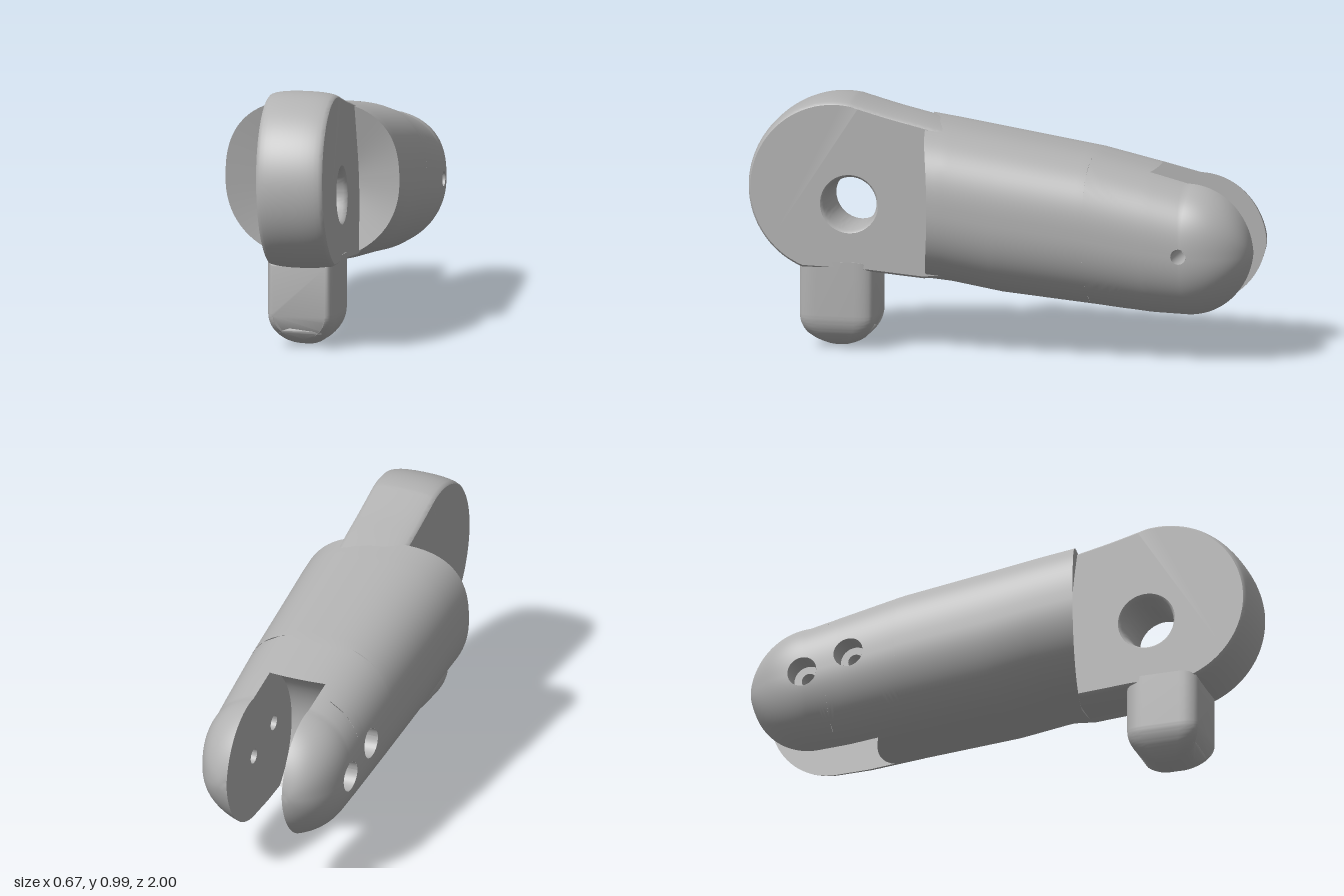
import * as THREE from 'three';
import { toCreasedNormals } from 'three/addons/utils/BufferGeometryUtils.js';

const LEFT = 0.08, RIGHT = -0.155;   // x planes of the rear slot
const SPLIT = -0.36;                 // z where the solid barrel becomes two prongs
const PIN = { z: -0.74, y: 0.445 }, SCREW = { z: -0.55, y: 0.5 };

// barrel stations: z, bottom, top, right x, left x
const STATIONS = [
  [-0.74, 0.165, 0.71, -0.335, 0.265], [-0.6, 0.17, 0.745, -0.335, 0.275],
  [-0.36, 0.195, 0.8, -0.34, 0.29], [0, 0.23, 0.858, -0.34, 0.313],
  [0.2, 0.265, 0.89, -0.34, 0.325], [0.42, 0.285, 0.922, -0.34, 0.335],
];

// barrel cross-section at z, with a rounded rear end
function section(z) {
  if (z < -0.74) {
    const k = Math.max(0.02, Math.sqrt(Math.max(0, 1 - ((z + 0.74) / 0.26) ** 2)));
    return { cx: -0.035, w: 0.12 + 0.18 * k, cy: 0.4375, h: 0.2725 * k };
  }
  let i = 0;
  while (i < STATIONS.length - 2 && z > STATIONS[i + 1][0]) i++;
  const a = STATIONS[i], b = STATIONS[i + 1], t = (z - a[0]) / (b[0] - a[0]);
  const [, lo, hi, xr, xl] = a.map((v, j) => v + (b[j] - v) * t);
  return { cx: (xl + xr) / 2, w: (xl - xr) / 2, cy: (lo + hi) / 2, h: (hi - lo) / 2 };
}
const power = up => (up ? 2.6 : 2.15);
function field(x, y, z) {
  const s = section(z), n = power(y > s.cy);
  return Math.abs((x - s.cx) / s.w) ** n + Math.abs((y - s.cy) / s.h) ** n - 1;
}
function outerX(z, y, side) {
  const s = section(z), n = power(y > s.cy);
  return s.cx + side * s.w * Math.max(0, 1 - Math.abs((y - s.cy) / s.h) ** n) ** (1 / n);
}
function outerY(z, x, up) {
  const s = section(z), n = power(up > 0);
  return s.cy + up * s.h * Math.max(0, 1 - Math.abs((x - s.cx) / s.w) ** n) ** (1 / n);
}
function skinNormal(x, y, z) {
  const e = 0.002;
  return new THREE.Vector3(field(x + e, y, z) - field(x - e, y, z),
    field(x, y + e, z) - field(x, y - e, z), field(x, y, z + e) - field(x, y, z - e)).normalize();
}

// grid surface from fn(i / nu, j / nv, i); skin = smooth normals of the barrel
function grid(nu, nv, fn, skin = false) {
  const pts = [], index = [];
  for (let i = 0; i <= nu; i++)
    for (let j = 0; j <= nv; j++) pts.push(new THREE.Vector3(...fn(i / nu, j / nv, i)));
  const normals = skin ? pts.map(p => skinNormal(p.x, p.y, p.z)) : null;
  const tri = (a, b, c) => {
    if (skin) {
      const f = pts[b].clone().sub(pts[a]).cross(pts[c].clone().sub(pts[a]));
      if (f.dot(normals[a]) < 0) [b, c] = [c, b];
    }
    index.push(a, b, c);
  };
  for (let i = 0; i < nu; i++)
    for (let j = 0; j < nv; j++) {
      const a = i * (nv + 1) + j, b = a + nv + 1;
      tri(a, b, a + 1);
      tri(b, b + 1, a + 1);
    }
  const g = new THREE.BufferGeometry().setFromPoints(pts);
  g.setIndex(index);
  if (skin) g.setAttribute('normal', new THREE.Float32BufferAttribute(normals.flatMap(n => n.toArray()), 3));
  else g.computeVertexNormals();
  return g;
}

// rays from a hole centre to the edge of a prong between two z limits
function prongRays(c, plane, z0, z1) {
  const angles = Array.from({ length: 96 }, (_, i) => -Math.PI + (i / 96) * 2 * Math.PI);
  for (const z of [z0, z1]) if (z > -1)
    for (const up of [-1, 1]) angles.push(Math.atan2(outerY(z, plane, up) - c.y, z - c.z));
  angles.sort((a, b) => a - b);
  angles.push(angles[0]);
  return angles.map(a => {
    let lo = 0, hi = 1;
    for (let k = 0; k < 30; k++) {
      const m = (lo + hi) / 2, z = c.z + m * Math.cos(a), y = c.y + m * Math.sin(a);
      if (z > z0 && z < z1 && field(plane, y, z) < 0) lo = m; else hi = m;
    }
    return { a, r: lo };
  });
}

export function createModel() {
  const group = new THREE.Group();
  const grey = new THREE.MeshStandardMaterial({ color: 0xb2b2b2, side: THREE.DoubleSide });
  grey.name = 'grey';
  const add = (name, geometry) => {
    const m = new THREE.Mesh(geometry, grey);
    m.name = name;
    group.add(m);
    return m;
  };

  // barrel and its front socket
  const rim = (u, v) => {
    const c = Math.cos(u * 2 * Math.PI), s = Math.sin(u * 2 * Math.PI), e = 2 / power(s > 0);
    const end = c < 0 ? 0.3 - 0.07 * c : 0.3 - 0.05 * c * c;
    const z = SPLIT + (end - SPLIT) * v, q = section(z);
    return [q.cx + q.w * Math.sign(c) * Math.abs(c) ** e, q.cy + q.h * Math.sign(s) * Math.abs(s) ** e, z];
  };
  add('barrel', grid(96, 20, rim, true));
  const hub = [0.035, 0.58, 0.24];
  add('frontSocket', grid(96, 8, (u, v) => rim(u, 1).map((p, k) => p + (hub[k] - p) * v)));

  // solid between the prongs, ending in a concave slot wall
  const slotZ = y => -0.7 + Math.sqrt(Math.max(0, 0.32 ** 2 - (y - 0.44) ** 2));
  const slotEnd = (x, up) => {
    let lo = -0.7, hi = SPLIT;
    for (let k = 0; k < 25; k++) {
      const m = (lo + hi) / 2;
      if (m > slotZ(outerY(m, x, up))) hi = m; else lo = m;
    }
    return hi;
  };
  const across = u => RIGHT + (LEFT - RIGHT) * u;
  for (const up of [1, -1])
    add(up > 0 ? 'slotTop' : 'slotBottom', grid(12, 8, (u, v) => {
      const x = across(u), z = SPLIT + (slotEnd(x, up) - SPLIT) * v;
      return [x, outerY(z, x, up), z];
    }, true));
  add('slotWall', grid(12, 20, (u, v) => {
    const x = across(u), lo = outerY(slotEnd(x, -1), x, -1), hi = outerY(slotEnd(x, 1), x, 1);
    const y = lo + (hi - lo) * v;
    return [x, y, slotZ(y)];
  }));

  // outer skin of a prong around one hole
  const prongSkin = (name, c, r0, side, plane, z0, z1) => {
    const rays = prongRays(c, plane, z0, z1);
    add(name, grid(rays.length - 1, 22, (u, v, i) => {
      const { a, r } = rays[i], d = r0 + (r - r0) * (1 - (1 - v) ** 1.7);
      const z = c.z + d * Math.cos(a), y = c.y + d * Math.sin(a), x = outerX(z, y, side);
      return [side > 0 ? Math.max(x, plane) : Math.min(x, plane), y, z];
    }, true));
  };
  prongSkin('leftProng', PIN, 0.03, 1, LEFT, -1.01, SPLIT);
  prongSkin('rightProngRear', PIN, 0.06, -1, RIGHT, -1.01, -0.65);
  prongSkin('rightProngFront', SCREW, 0.06, -1, RIGHT, -0.65, SPLIT);

  // flat inner face of a prong with its holes
  const prongFace = (name, plane, holes) => {
    const shape = new THREE.Shape(prongRays(PIN, plane, -1.01, SPLIT).slice(0, -1)
      .map(({ a, r }) => new THREE.Vector2(PIN.z + r * Math.cos(a), PIN.y + r * Math.sin(a))));
    for (const h of holes) shape.holes.push(new THREE.Path().absarc(h.z, h.y, 0.03, 0, 2 * Math.PI, true));
    add(name, new THREE.ShapeGeometry(shape, 16).rotateY(-Math.PI / 2).translate(plane, 0, 0));
  };
  prongFace('leftProngInnerFace', LEFT, [PIN, SCREW]);
  prongFace('rightProngInnerFace', RIGHT, [PIN]);

  // stepped bores: [radius, x], x = null follows the outer skin
  const bore = (name, c, side, stops) => {
    const at = ([r, x], a) => {
      const z = c.z + r * Math.cos(a), y = c.y + r * Math.sin(a);
      return [x ?? outerX(z, y, side), y, z];
    };
    for (let k = 0; k < stops.length - 1; k++)
      add(name, grid(32, 1, (u, v) => at(stops[k + Math.round(v)], u * 2 * Math.PI)));
  };
  bore('leftPinHole', PIN, 1, [[0.03, null], [0.03, LEFT]]);
  bore('leftScrewHole', SCREW, 1, [[0.03, LEFT], [0.03, 0.17], [0, 0.17]]);
  bore('rightPinHole', PIN, -1, [[0.06, null], [0.06, -0.24], [0.03, -0.24], [0.03, RIGHT]]);
  bore('rightScrewHole', SCREW, -1, [[0.06, null], [0.06, -0.24], [0.03, -0.24], [0.03, -0.18], [0, -0.18]]);

  // front tongue: crowned knuckle disc with a pivot hole
  const deg = Math.PI / 180, side = new THREE.Shape();
  side.absarc(0.65, 0.64, 0.33, -68 * deg, 100 * deg, false);
  side.splineThru([[0.45, 0.925], [0.3, 0.888], [0.08, 0.83]].map(p => new THREE.Vector2(...p)));
  for (const p of [[0.08, 0.32], [0.3, 0.305], [0.52, 0.325]]) side.lineTo(...p);
  side.holes.push(new THREE.Path().absarc(0.59, 0.58, 0.115, 0, 2 * Math.PI, true));
  const tongue = new THREE.ExtrudeGeometry(side, {
    depth: 0.025, bevelThickness: 0.12, bevelSize: 0.02, bevelSegments: 6, curveSegments: 40,
  }).rotateY(-Math.PI / 2).translate(0.035, 0, 0);
  const tp = tongue.attributes.position;
  for (let i = 0; i < tp.count; i++)
    tp.setX(i, tp.getX(i) + 0.045 * (tp.getZ(i) - 0.3) - 0.03 * (tp.getY(i) - 0.98));
  add('tongue', toCreasedNormals(tongue, 0.6));

  // tendon loop under the tongue, rounded off towards its bottom
  const loop = new THREE.Shape();
  loop.moveTo(0.16, 0.32).lineTo(-0.05, 0.32).lineTo(-0.05, 0.135);
  loop.absarc(0.055, 0.135, 0.105, Math.PI, 2 * Math.PI, false);
  loop.lineTo(0.16, 0.32);
  const win = new THREE.Path();
  win.moveTo(-0.03, 0.055).lineTo(-0.03, 0.31).lineTo(0.14, 0.31).lineTo(0.14, 0.055).lineTo(-0.03, 0.055);
  loop.holes.push(win);
  const loopGeo = new THREE.ExtrudeGeometry(loop, {
    depth: 0.15, bevelThickness: 0.07, bevelSize: 0.03, bevelSegments: 5, curveSegments: 32,
  }).translate(0, 0, -0.075);
  const lp = loopGeo.attributes.position;
  for (let i = 0; i < lp.count; i++) {
    const d = Math.min(1, Math.max(0, (0.13 - lp.getY(i)) / 0.13));
    lp.setZ(i, 0.645 + lp.getZ(i) * Math.sqrt(1 - d * d));
  }
  add('tendonLoop', toCreasedNormals(loopGeo, 0.7));
  add('loopPin', new THREE.CylinderGeometry(0.055, 0.055, 0.15, 32).rotateZ(Math.PI / 2).translate(0.055, 0.21, 0.645));

  return group;
}
